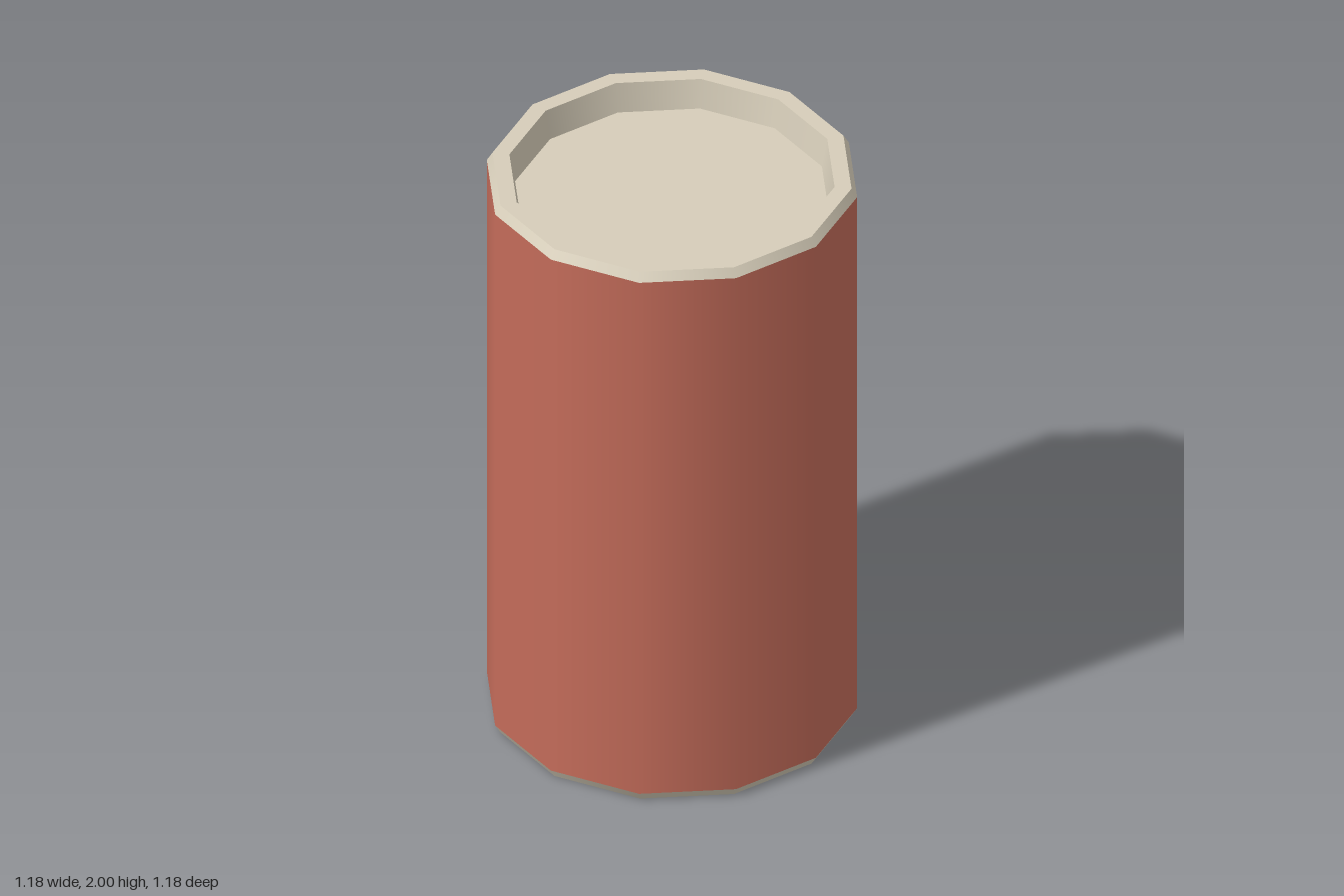
import * as THREE from 'three';
import { mergeGeometries } from 'three/addons/utils/BufferGeometryUtils.js';

const SIDES = 12;
const HEIGHT = 2;

// Lathes each profile segment on its own, so shading is smooth around and sharp between bands
function bandedLathe(profile) {
  const bands = [];
  for (let i = 0; i < profile.length - 1; i++) {
    const points = [profile[i], profile[i + 1]].map(([r, y]) => new THREE.Vector2(r, y));
    bands.push(new THREE.LatheGeometry(points, SIDES));
  }
  return mergeGeometries(bands);
}

export function createModel() {
  const group = new THREE.Group();
  const red = new THREE.MeshStandardMaterial({ color: 0xc46c5a });
  const cream = new THREE.MeshStandardMaterial({ color: 0xd6cdb9 });

  const add = (name, profile, material) => {
    const mesh = new THREE.Mesh(bandedLathe(profile), material);
    mesh.name = name;
    group.add(mesh);
  };

  // Can wall
  add('body', [[0.59, 0.03], [0.59, 1.97]], red);

  // Lid: chamfer, flat rim, sloping inner wall, recessed panel
  const lid = [[0.59, 1.97], [0.572, 2], [0.518, 2], [0.5, 1.9], [0, 1.9]];
  add('topLid', lid, cream);

  // Base is the lid mirrored, with the profile reversed to keep faces outward
  add('bottomLid', lid.map(([r, y]) => [r, HEIGHT - y]).reverse(), cream);

  return group;
}
